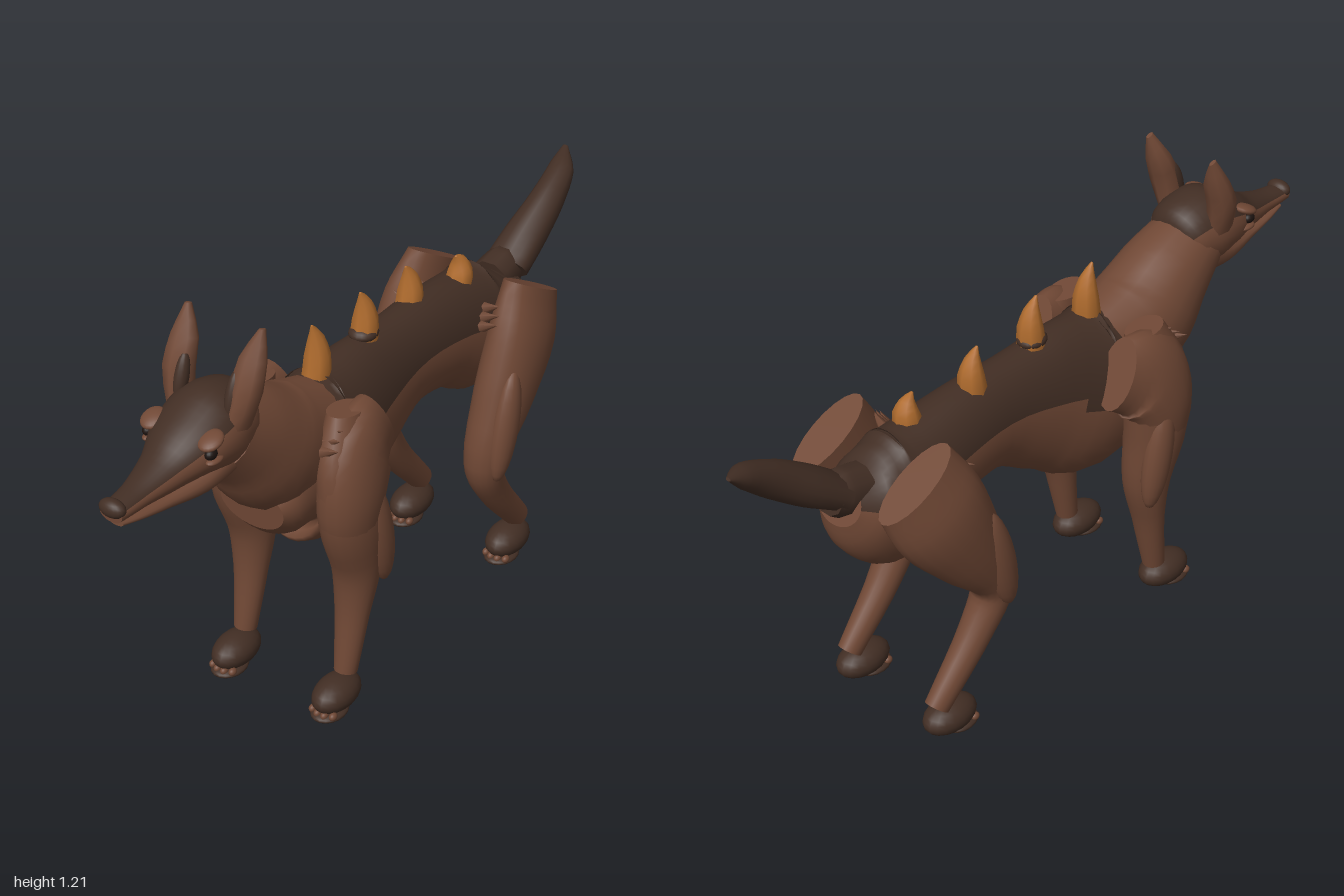
import * as THREE from 'three';

const mat = (name, color) => Object.assign(new THREE.MeshStandardMaterial({ color }), { name });

export function createModel() {
  const root = new THREE.Group();
  root.name = 'hornedHound';
  const brown = mat('brown fur', 0x704835);
  const dark = mat('dark fur', 0x422e24);
  const orange = mat('orange horn', 0xb06c2e);
  const black = mat('eye black', 0x1c1310);

  // Loft of ellipses along a path; rows are [z, y, half height, half width, x].
  // Faces whose ring angle has sine above split(t) take the second material.
  function loft(name, rows, materials, { split = () => 2, sides = 20, steps = 4, parent = root } = {}) {
    const path = new THREE.CatmullRomCurve3(rows.map(r => new THREE.Vector3(r[4] ?? 0, r[1], r[0])));
    const size = new THREE.CatmullRomCurve3(rows.map(r => new THREE.Vector3(r[2], r[3], 0)));
    const rings = (rows.length - 1) * steps;
    const pos = [], base = [], top = [];
    for (let i = 0; i <= rings; i++) {
      const t = i / rings;
      const c = path.getPoint(t), s = size.getPoint(t), d = path.getTangent(t);
      const l = Math.hypot(d.y, d.z);
      for (let j = 0; j < sides; j++) {
        const a = (j / sides) * Math.PI * 2;
        const h = Math.max(s.x, 0.002) * Math.sin(a), w = Math.max(s.y, 0.002) * Math.cos(a);
        pos.push(c.x + w, c.y + (h * d.z) / l, c.z - (h * d.y) / l);
      }
    }
    for (let i = 0; i < rings; i++) {
      const limit = split((i + 0.5) / rings);
      for (let j = 0; j < sides; j++) {
        const k = (j + 1) % sides, a = i * sides + j, b = i * sides + k;
        const list = Math.sin(((j + 0.5) / sides) * Math.PI * 2) > limit ? top : base;
        list.push(a, b, b + sides, a, b + sides, a + sides);
      }
    }
    // flat end caps with their own corners
    for (const end of [0, rings]) {
      const start = pos.length / 3;
      pos.push(...pos.slice(end * sides * 3, (end + 1) * sides * 3));
      for (let j = 1; j < sides - 1; j++) {
        base.push(start, ...(end ? [start + j, start + j + 1] : [start + j + 1, start + j]));
      }
    }
    const g = new THREE.BufferGeometry();
    g.setAttribute('position', new THREE.Float32BufferAttribute(pos, 3));
    g.setIndex([...base, ...top]);
    g.addGroup(0, base.length, 0);
    if (top.length) g.addGroup(base.length, top.length, 1);
    g.computeVertexNormals();
    const mesh = new THREE.Mesh(g, top.length ? materials : materials[0]);
    mesh.name = name;
    parent.add(mesh);
  }

  const ball = new THREE.SphereGeometry(1, 18, 12);
  function blob(name, material, p, s, parent = root) {
    const m = new THREE.Mesh(ball, material);
    m.name = name;
    m.position.set(...p);
    m.scale.set(...s);
    parent.add(m);
    return m;
  }

  // body, with a dark saddle that reaches lower behind the shoulders
  loft('torso', [
    [-0.665, 0.745, 0.055, 0.07], [-0.6, 0.708, 0.135, 0.11], [-0.5, 0.685, 0.185, 0.118],
    [-0.35, 0.725, 0.15, 0.107], [-0.17, 0.74, 0.145, 0.095], [0.03, 0.7, 0.2, 0.11],
    [0.2, 0.655, 0.24, 0.14], [0.33, 0.675, 0.195, 0.13], [0.42, 0.645, 0.125, 0.118], [0.475, 0.64, 0.065, 0.095],
  ], [brown, dark], { split: t => (t > 0.8 ? 2 : 0.2 - Math.max(0, t - 0.5) * 1.6), sides: 36 });
  loft('neck', [
    [0.27, 0.73, 0.155, 0.125], [0.4, 0.775, 0.16, 0.137], [0.5, 0.86, 0.132, 0.122], [0.6, 0.93, 0.1, 0.1],
  ], [brown]);

  // head
  loft('skullAndMuzzle', [
    [0.53, 0.945, 0.055, 0.07], [0.56, 0.953, 0.093, 0.095], [0.63, 0.957, 0.106, 0.108], [0.71, 0.948, 0.08, 0.1],
    [0.8, 0.924, 0.05, 0.064], [0.9, 0.911, 0.03, 0.04], [0.985, 0.907, 0.022, 0.032],
  ], [brown, dark], { split: () => 0.4, sides: 28 });
  loft('lowerJaw', [
    [0.62, 0.88, 0.06, 0.08], [0.71, 0.858, 0.042, 0.068], [0.82, 0.858, 0.022, 0.044],
    [0.91, 0.868, 0.013, 0.032], [0.968, 0.876, 0.008, 0.02],
  ], [brown]);
  blob('nose', dark, [0, 0.92, 0.978], [0.036, 0.023, 0.022]);

  // tail: a short root and a curved brush
  loft('tailRoot', [[-0.6, 0.765, 0.06, 0.06], [-0.66, 0.775, 0.064, 0.057], [-0.7, 0.785, 0.05, 0.052]], [dark], { sides: 10 });
  loft('tail', [
    [-0.67, 0.78, 0.045, 0.066, 0.007], [-0.75, 0.835, 0.051, 0.06, 0.013], [-0.85, 0.905, 0.047, 0.048, 0.02],
    [-0.94, 0.965, 0.03, 0.037, 0.012], [-1, 1, 0.004, 0.008, -0.013],
  ], [dark], { sides: 14 });

  // curved horns along the spine
  [[0.205, 0.87, 1.02, 0], [0, 0.88, 1.015, 0], [-0.225, 0.86, 0.98, -0.015], [-0.42, 0.85, 0.93, 0.012]]
    .forEach(([z, y0, y1, x], i) => {
      const h = y1 - y0;
      loft('spineHorn' + (i + 1), [
        [z - 0.004, y0, 0.038, 0.038, x], [z - 0.008, y0 + h * 0.4, 0.033, 0.034, x],
        [z - 0.002, y0 + h * 0.74, 0.022, 0.02, x], [z + 0.014, y1, 0.003, 0.003, x],
      ], [orange], { sides: 8, steps: 2 });
    });
  blob('hornSocket', dark, [0, 0.895, -0.002], [0.038, 0.022, 0.042]);

  for (const s of [1, -1]) {
    const side = new THREE.Group();
    side.name = s > 0 ? 'leftSide' : 'rightSide';
    root.add(side);
    const limb = (name, rows, opts = {}) =>
      loft(name, rows.map(([z, y, a, b, x]) => [z, y, a, b, x * s]), [brown], { parent: side, ...opts });

    // ear with a dark inner face
    limb('ear', [
      [0.625, 0.98, 0.038, 0.03, 0.082], [0.608, 1.07, 0.038, 0.041, 0.097],
      [0.58, 1.14, 0.031, 0.036, 0.098], [0.552, 1.21, 0.012, 0.006, 0.106],
    ], { sides: 8, steps: 2 });
    const inner = blob('innerEar', dark, [s * 0.074, 1.06, 0.628], [0.018, 0.062, 0.02], side);
    inner.rotation.x = -0.3;

    // eye and brow
    blob('eye', black, [s * 0.09, 0.965, 0.735], [0.014, 0.014, 0.018], side);
    const brow = blob('brow', brown, [s * 0.083, 0.994, 0.725], [0.03, 0.013, 0.035], side);
    brow.rotation.x = 0.35;
    blob('lowerLid', brown, [s * 0.092, 0.945, 0.725], [0.016, 0.009, 0.028], side);

    // front leg: shoulder blade turning down into the limb
    limb('shoulder', [
      [0.16, 0.775, 0.1, 0.052, 0.145], [0.25, 0.735, 0.125, 0.072, 0.16],
      [0.295, 0.64, 0.105, 0.077, 0.168], [0.29, 0.52, 0.085, 0.068, 0.165],
    ]);
    limb('frontLeg', [
      [0.27, 0.86, 0.06, 0.04, 0.135], [0.285, 0.72, 0.11, 0.067, 0.158], [0.29, 0.57, 0.1, 0.073, 0.167],
      [0.265, 0.41, 0.068, 0.063, 0.163], [0.28, 0.27, 0.042, 0.047, 0.16], [0.31, 0.1, 0.031, 0.031, 0.16],
    ]);
    const foreMuscle = blob('foreMuscle', brown, [s * 0.216, 0.515, 0.245], [0.035, 0.16, 0.044], side);
    foreMuscle.rotation.x = 0.17;

    // hind leg
    limb('hindLeg', [
      [-0.56, 0.82, 0.125, 0.052, 0.15], [-0.5, 0.71, 0.135, 0.074, 0.166], [-0.41, 0.56, 0.105, 0.074, 0.169],
      [-0.325, 0.39, 0.054, 0.056, 0.167], [-0.375, 0.28, 0.046, 0.045, 0.163], [-0.52, 0.105, 0.036, 0.031, 0.16],
    ]);
    const thighMuscle = blob('thighMuscle', brown, [s * 0.216, 0.51, -0.345], [0.035, 0.16, 0.044], side);
    thighMuscle.rotation.x = -0.22;

    // paws with pads and toes
    for (const [label, z] of [['front', 0.352], ['hind', -0.475]]) {
      blob(label + 'Paw', dark, [s * 0.16, 0.055, z], [0.053, 0.045, 0.083], side);
      blob(label + 'Pad', dark, [s * 0.16, 0.016, z + 0.03], [0.046, 0.016, 0.058], side);
      for (let i = 0; i < 4; i++) {
        const off = (i - 1.5) * 0.021;
        blob(label + 'Toe', brown, [s * 0.16 + off, 0.026, z + 0.072 - Math.abs(off) * 0.4], [0.01, 0.011, 0.013], side);
      }
    }

    // small tufts on shoulder and hip
    for (const [label, z, y, x] of [['shoulder', 0.352, 0.815, 0.155], ['hip', -0.4, 0.79, 0.13]]) {
      for (let i = -1; i < 2; i++) {
        const tuft = new THREE.Mesh(new THREE.ConeGeometry(0.016, 0.06, 6), brown);
        tuft.name = label + 'Tuft';
        tuft.position.set(s * (x + i * 0.008), y - i * 0.016, z + i * 0.02);
        tuft.rotation.set(0.4, 0, -s * 1.1);
        side.add(tuft);
      }
    }
  }
  return root;
}
